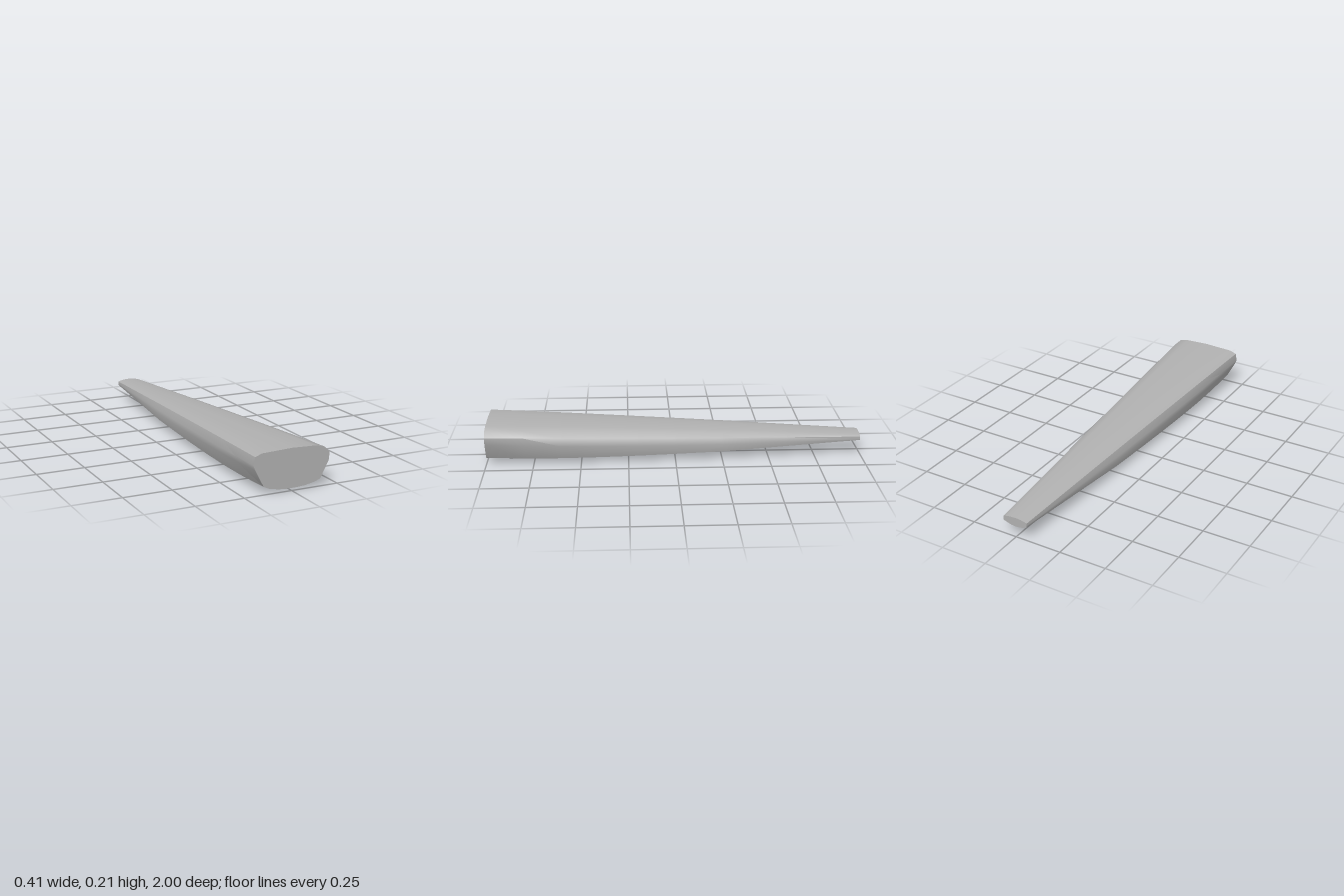
import * as THREE from 'three';
import { toCreasedNormals } from 'three/addons/utils/BufferGeometryUtils.js';

// Outline points, counter-clockwise seen from the front:
// [front x, front y, back x, back y, sideways bulge, downward bulge]
const outline = [
  [0.155, 0.038, 0.068, 0.075, 0.026, 0.7],
  [0.2, 0.125, 0.07, 0.081, 0.016, 0.5],
  [0.203, 0.163, 0.07, 0.095, 0.006, 0.1],
  [0.173, 0.193, 0.066, 0.1, 0.003, -0.1],
  [0.125, 0.204, 0.045, 0.105, 0, -0.2],
  [0, 0.209, 0, 0.109, 0, -0.2],
  [-0.08, 0.206, -0.03, 0.107, 0, -0.2],
  [-0.16, 0.203, -0.055, 0.102, 0, -0.2],
  [-0.197, 0.19, -0.065, 0.098, 0, -0.1],
  [-0.205, 0.15, -0.065, 0.084, -0.008, 0.2],
  [-0.195, 0.125, -0.065, 0.08, -0.015, 0.5],
  [-0.15, 0.04, -0.063, 0.075, -0.024, 0.7],
  [-0.12, 0.026, -0.045, 0.067, -0.012, 0.85],
  [-0.07, 0.016, -0.025, 0.062, -0.004, 1],
  [-0.025, 0.013, -0.01, 0.06, 0, 1],
  [0.025, 0.013, 0.01, 0.06, 0, 1],
  [0.07, 0.016, 0.025, 0.062, 0.004, 1],
  [0.125, 0.026, 0.045, 0.067, 0.012, 0.85],
];

// Stations along the length: [z, bulge amount]
const stations = [
  [1, 0], [0.8, 0.5], [0.6, 0.8], [0.4, 0.94], [0.2, 1],
  [0, 1], [-0.25, 0.96], [-0.6, 0.5], [-1, 0],
];

function taperedGeometry() {
  const n = outline.length;
  const positions = [];
  const index = [];
  for (const [z, bulge] of stations) {
    const t = (1 - z) / 2;
    for (const [fx, fy, bx, by, side, drop] of outline) {
      positions.push(
        THREE.MathUtils.lerp(fx, bx, t) + side * bulge,
        THREE.MathUtils.lerp(fy, by, t) - 0.028 * drop * bulge,
        z
      );
    }
  }
  // Skin between neighbouring sections
  for (let s = 0; s < stations.length - 1; s++) {
    for (let i = 0; i < n; i++) {
      const j = (i + 1) % n;
      const a = s * n + i, b = s * n + j;
      index.push(a, a + n, b, b, a + n, b + n);
    }
  }
  // Flat end caps
  const last = (stations.length - 1) * n;
  for (let i = 1; i < n - 1; i++) {
    index.push(0, i, i + 1, last, last + i + 1, last + i);
  }
  const geometry = new THREE.BufferGeometry();
  geometry.setAttribute('position', new THREE.Float32BufferAttribute(positions, 3));
  geometry.setIndex(index);
  return toCreasedNormals(geometry, THREE.MathUtils.degToRad(38));
}

export function createModel() {
  const model = new THREE.Group();
  model.name = 'taperedBeam';

  const grey = new THREE.MeshStandardMaterial({ color: 0xb0b0b0 });
  grey.name = 'plainGrey';

  const body = new THREE.Mesh(taperedGeometry(), grey);
  body.name = 'taperedBody';
  model.add(body);
  return model;
}
